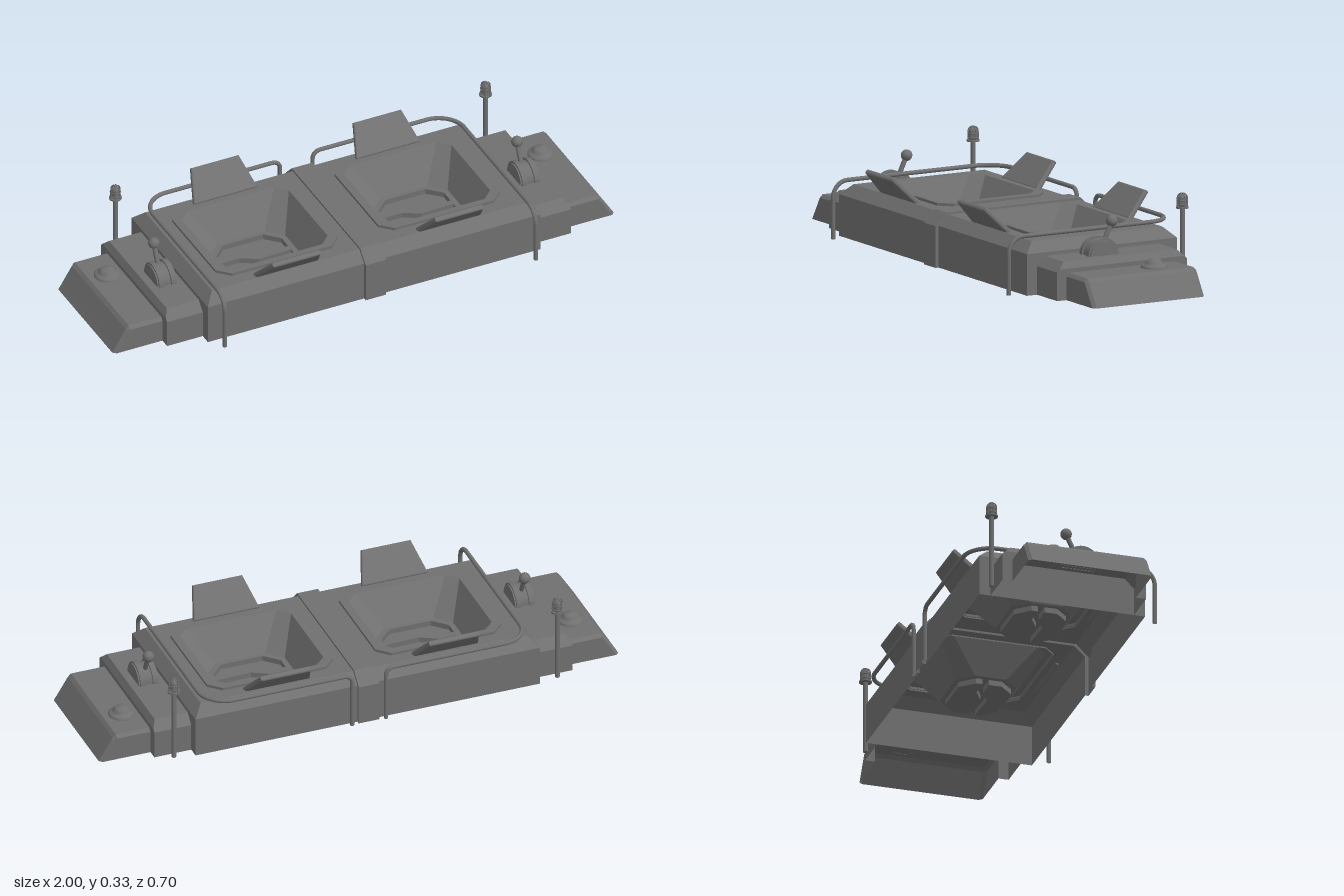
import * as THREE from 'three';

const grey = new THREE.MeshStandardMaterial({ color: 0x707070, side: THREE.DoubleSide });
const flat = new THREE.MeshStandardMaterial({ color: 0x707070, side: THREE.DoubleSide, flatShading: true });
const ZC = -0.017; // the hull sits slightly behind the rail centre
const V = (x, y, z) => new THREE.Vector3(x, y, z);

function add(parent, name, geometry, pos = [0, 0, 0], material = grey) {
  const m = new THREE.Mesh(geometry, material);
  m.name = name;
  m.position.set(...pos);
  parent.add(m);
  return m;
}

// Octagon loop with cut corners, counter-clockwise seen from above
function octLoop(hx, hz, c, y, cx = 0) {
  return [[hx, hz - c], [hx, c - hz], [hx - c, -hz], [c - hx, -hz],
    [-hx, c - hz], [-hx, hz - c], [c - hx, hz], [hx - c, hz]].map(([x, z]) => [x + cx, y, z]);
}

// Hull cross-section at x: half width, shoulder height, half width and height of the top
const arch = (x, h, s, th, t) => [[x, 0, h], [x, s, h], [x, t, th], [x, t, -th], [x, s, -h], [x, 0, -h]];
const TOP = 2, BOTTOM = 5; // strips of an arch that may be left open

// Flat-faced skin through a stack of loops, leaving out the strips in skip
function loft(loops, { cap = false, skip = [] } = {}) {
  const p = [];
  for (let i = 0; i + 1 < loops.length; i++) {
    const a = loops[i], b = loops[i + 1], n = a.length;
    for (let j = 0; j < n; j++) {
      if (skip.includes(j)) continue;
      const k = (j + 1) % n;
      p.push(...a[j], ...a[k], ...b[k], ...a[j], ...b[k], ...b[j]);
    }
  }
  const e = loops[loops.length - 1];
  if (cap) for (let j = 1; j + 1 < e.length; j++) p.push(...e[0], ...e[j], ...e[j + 1]);
  const g = new THREE.BufferGeometry();
  g.setAttribute('position', new THREE.Float32BufferAttribute(p, 3));
  g.computeVertexNormals();
  return g;
}

// Polyline with rounded corners: [point, radius]
function roundedPath(corners) {
  const path = new THREE.CurvePath();
  let last = corners[0][0];
  for (let i = 1; i < corners.length; i++) {
    const [p, r] = corners[i];
    if (i === corners.length - 1) { path.add(new THREE.LineCurve3(last, p)); break; }
    const q = corners[i + 1][0];
    const a = p.clone().add(corners[i - 1][0].clone().sub(p).setLength(r));
    const b = p.clone().add(q.clone().sub(p).setLength(r));
    const k = 0.45; // handles approximating a circular arc
    path.add(new THREE.LineCurve3(last, a));
    path.add(new THREE.CubicBezierCurve3(a, a.clone().lerp(p, 1 - k), b.clone().lerp(p, 1 - k), b));
    last = b;
  }
  return path;
}

// Shapes are drawn with y pointing to the back, then laid flat
const shape2 = pts => new THREE.Shape(pts.map(([x, y]) => new THREE.Vector2(x, y)));
const planOf = loop => shape2(loop.map(([x, , z]) => [x, -z]));
const plate = shape => new THREE.ShapeGeometry(shape).rotateX(-Math.PI / 2);

function buildTub(x) {
  const tub = new THREE.Group();
  tub.name = 'tub';
  const floorLoop = octLoop(0.15, 0.114, 0.055, 0.085);
  add(tub, 'basin', loft([
    octLoop(0.243, 0.222, 0.045, 0.185), octLoop(0.243, 0.222, 0.045, 0.2), octLoop(0.213, 0.198, 0.04, 0.2), floorLoop,
  ]), [0, 0, ZC], flat);

  // Two sunken halves of the floor with a winding ridge between them
  const floor = planOf(floorLoop);
  const ridge = [[-0.13, 0.012], [-0.06, 0.012], [0, -0.022], [0.13, -0.018]];
  for (const s of [1, -1]) {
    const lobe = [...ridge.map(([a, b]) => [a, b + s * 0.012]),
      [0.13, s * 0.048], [0.08, s * 0.098], [-0.08, s * 0.098], [-0.13, s * 0.048]];
    floor.holes.push(shape2(lobe));
    add(tub, 'floorWellWall', loft([0.085, 0.065].map(y => lobe.map(([a, b]) => [a, y, -b]))), [0, 0, ZC], flat);
    add(tub, 'floorWell', plate(shape2(lobe)), [0, 0.065, ZC], flat);
  }
  add(tub, 'floor', plate(floor), [0, 0.085, ZC], flat);

  // Sloped headrests, front and back
  const rest = shape2([[-0.12, 0], [0.12, 0], [0.09, 0.117], [-0.09, 0.117]]);
  const restGeo = new THREE.ExtrudeGeometry(rest, { depth: 0.006, bevelThickness: 0.007, bevelSize: 0.007, bevelSegments: 3 })
    .translate(0, 0, -0.003).rotateX(0.77);
  add(tub, 'frontHeadrest', restGeo, [0, 0.191, 0.239]);
  add(tub, 'backHeadrest', restGeo, [0, 0.191, -0.262]).rotation.y = Math.PI;
  tub.position.x = x;
  return tub;
}

function buildLever() {
  const lever = new THREE.Group();
  lever.name = 'lever';
  const half = (r, w) => new THREE.CylinderGeometry(r, r, w, 24, 1, false, 0, Math.PI).rotateZ(Math.PI / 2);
  for (const x of [-0.024, 0.024]) add(lever, 'housingCheek', half(0.063, 0.018), [x, 0, 0]);
  add(lever, 'housingCore', half(0.056, 0.076));
  const tip = V(0, 0.116, -0.053);
  const stick = add(lever, 'stick', new THREE.CylinderGeometry(0.009, 0.009, tip.length(), 10), tip.clone().multiplyScalar(0.5).toArray());
  stick.quaternion.setFromUnitVectors(V(0, 1, 0), tip.clone().normalize());
  add(lever, 'knob', new THREE.SphereGeometry(0.021, 16, 12), tip.toArray());
  lever.position.set(0.724, 0.137, 0.031);
  return lever;
}

function buildLamp() {
  const lamp = new THREE.Group();
  lamp.name = 'lampPost';
  add(lamp, 'post', new THREE.CylinderGeometry(0.009, 0.009, 0.276, 12), [0, 0.138, 0]);
  add(lamp, 'lampBase', new THREE.CylinderGeometry(0.023, 0.023, 0.006, 20), [0, 0.277, 0]);
  add(lamp, 'lampGlass', new THREE.CapsuleGeometry(0.016, 0.022, 6, 16), [0, 0.299, 0]);
  for (const y of [0.288, 0.304]) add(lamp, 'cageRing', new THREE.TorusGeometry(0.018, 0.0025, 6, 20).rotateX(Math.PI / 2), [0, y, 0]);
  for (let i = 0; i < 3; i++) {
    const arc = roundedPath([[V(-0.018, 0.278, 0)], [V(-0.018, 0.329, 0), 0.017], [V(0.018, 0.329, 0), 0.017], [V(0.018, 0.278, 0)]]);
    add(lamp, 'cageRib', new THREE.TubeGeometry(arc, 24, 0.0025, 6)).rotation.y = i * Math.PI / 3;
  }
  lamp.position.set(0.738, 0, -0.307);
  return lamp;
}

// Everything found at one end of the model, built for +x
function buildEnd() {
  const end = new THREE.Group();

  // Hull half, open underneath, with a chamfered end
  const hullEnd = arch(0.628, 0.312, 0.152, 0.272, 0.19);
  add(end, 'hullEnd', loft([hullEnd, arch(0.663, 0.312, 0.152, 0.312, 0.152)], { cap: true, skip: [BOTTOM] }), [0, 0, ZC], flat);
  add(end, 'hullSides', loft([arch(0.04, 0.312, 0.152, 0.272, 0.19), hullEnd], { skip: [TOP, BOTTOM] }), [0, 0, ZC], flat);
  const deck = shape2([[0.04, -0.272], [0.628, -0.272], [0.628, 0.272], [0.04, 0.272]]);
  deck.holes.push(planOf(octLoop(0.24, 0.219, 0.045, 0, 0.324)));
  add(end, 'deck', plate(deck), [0, 0.19, ZC], flat);

  // Two lower steps sharing one cavity, with a sloped outer end
  add(end, 'steps', loft([
    arch(0.663, 0.27, 0.104, 0.235, 0.138), arch(0.79, 0.27, 0.104, 0.235, 0.138), arch(0.805, 0.27, 0.104, 0.26, 0.114),
    arch(0.805, 0.232, 0.086, 0.22, 0.098), arch(0.934, 0.232, 0.086, 0.22, 0.098), arch(0.946, 0.232, 0.067, 0.22, 0.086),
    arch(0.988, 0.232, 0, 0.22, 0.019), arch(1, 0.22, 0, 0.22, 0),
  ], { skip: [BOTTOM] }), [0, 0, ZC], flat);
  end.add(buildLever(), buildLamp());

  // Round push button
  const button = [[0.048, 0], [0.048, 0.006], [0.042, 0.012], [0.033, 0.012], [0.031, 0.02], [0.021, 0.031], [0, 0.033]];
  add(end, 'pushButton', new THREE.LatheGeometry(button.map(([a, b]) => new THREE.Vector2(a, b)), 24), [0.864, 0.097, -0.115]);

  // Handrail: up behind the centre, along the back, around the corner and down the front
  const rail = roundedPath([
    [V(0.065, 0, -0.342)], [V(0.065, 0.21, -0.342), 0.03], [V(0.62, 0.21, -0.342), 0.1],
    [V(0.62, 0.21, 0.345), 0.06], [V(0.62, 0, 0.345)],
  ]);
  add(end, 'handrail', new THREE.TubeGeometry(rail, 160, 0.008, 10));
  return end;
}

export function createModel() {
  const model = new THREE.Group();
  model.name = 'tubPlatform';
  for (const x of [-0.324, 0.324]) model.add(buildTub(x));

  // Raised band joining the two hull halves
  const inner = x => arch(x, 0.312, 0.152, 0.272, 0.19);
  const outer = x => arch(x, 0.325, 0.152, 0.279, 0.198);
  add(model, 'centreBand', loft([inner(-0.04), outer(-0.04), outer(0.04), inner(0.04)], { skip: [BOTTOM] }), [0, 0, ZC], flat);

  // Matching ends
  for (const s of [1, -1]) {
    const end = buildEnd();
    end.name = s > 0 ? 'leftEnd' : 'rightEnd';
    end.scale.x = s;
    model.add(end);
  }
  return model;
}
